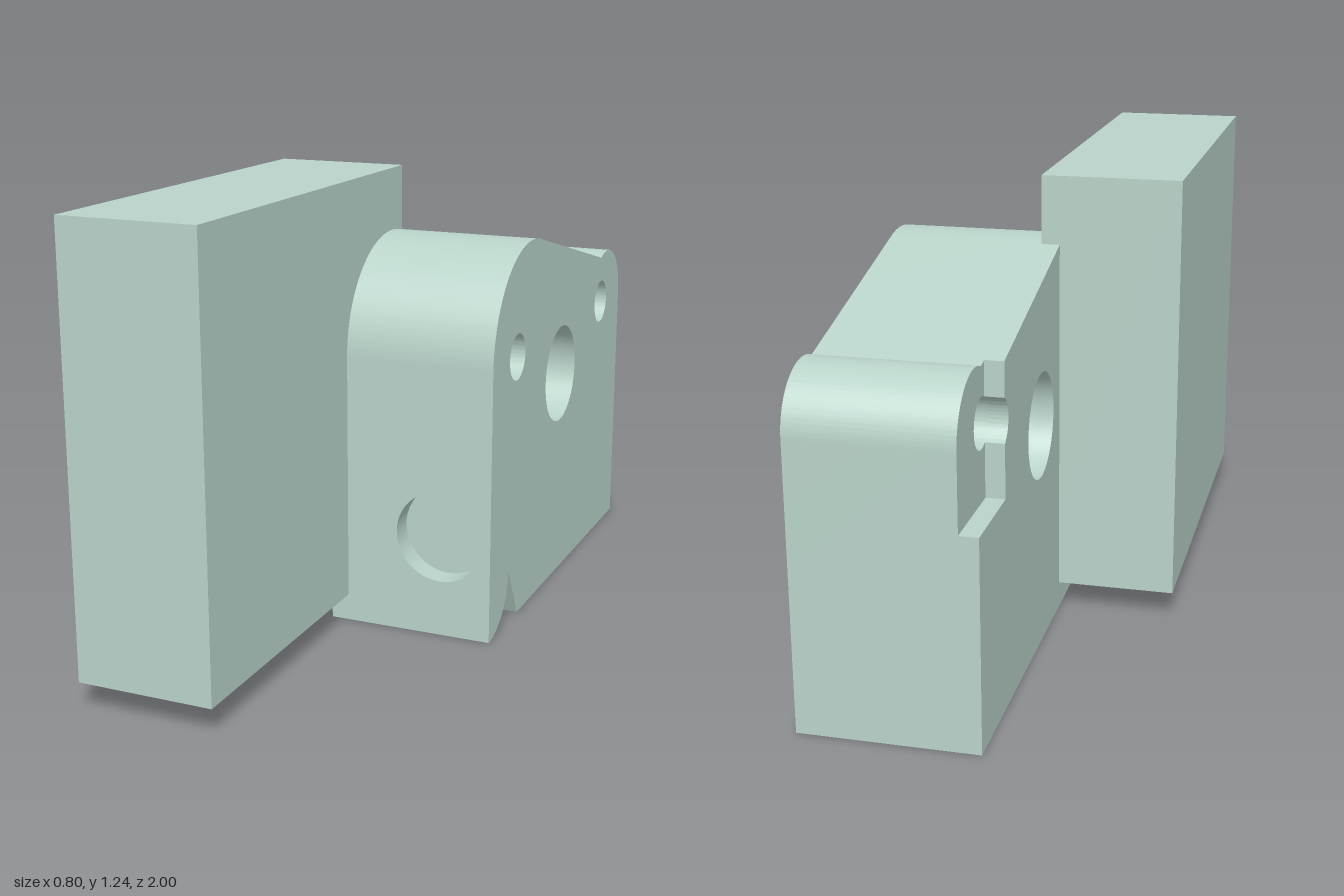
import * as THREE from 'three';
import { toCreasedNormals } from 'three/addons/utils/BufferGeometryUtils.js';

const rad = THREE.MathUtils.degToRad;
const BACK_HOLE = [0.79, 0.76, 0.065];
const HOLES = [[-0.017, 0.76, 0.065], [0.383, 0.62, 0.143]];
// Shallow bore in the front face
const BORE = { x: 0.25, y: 0.285, r: 0.128, depth: 0.07, low: 0.155, high: 0.415 };
const FRONT = 0.215, X0 = -0.075, X1 = -0.025, X2 = 0.395;

function addHole(shape, [u, v, r]) {
  shape.holes.push(new THREE.Path().absarc(u, v, r, 0, Math.PI * 2, true));
}

// Side profile of the block, drawn with u = -z and v = y
function blockProfile(isInnerLayer) {
  const s = new THREE.Shape();
  s.moveTo(-FRONT, 0);
  s.absarc(-FRONT, 0.155, 0.155, rad(-90), 0, false); // rounded lip
  s.lineTo(0.022, 0);
  s.lineTo(1, 0);
  if (isInnerLayer) {
    // stepped recess in the upper back corner, cut by the back hole
    const [u, v, r] = BACK_HOLE;
    const a = Math.acos((0.76 - u) / -r);
    s.lineTo(1, 0.56);
    s.lineTo(0.76, 0.56);
    s.absarc(u, v, r, Math.PI + a, Math.PI - a, true);
    s.lineTo(0.76, 0.908);
  } else {
    s.lineTo(1, 0.76);
    s.absarc(0.847, 0.76, 0.153, 0, rad(114), false);
  }
  s.absarc(0.09, 0.76, 0.305, rad(76.5), Math.PI, false);
  if (!isInnerLayer) {
    // pocket that receives the bored front panel
    s.lineTo(-FRONT, BORE.high);
    s.lineTo(-FRONT + BORE.depth, BORE.high);
    s.lineTo(-FRONT + BORE.depth, BORE.low);
    s.lineTo(-FRONT, BORE.low);
  }
  s.closePath();
  HOLES.forEach((h) => addHole(s, h));
  if (!isInnerLayer) addHole(s, BACK_HOLE);
  return s;
}

function extrude(shape, depth) {
  return new THREE.ExtrudeGeometry(shape, { depth, bevelEnabled: false, curveSegments: 40 });
}

export function createModel() {
  const group = new THREE.Group();
  const material = new THREE.MeshStandardMaterial({ color: 0xb9d3c9 });
  const add = (name, geometry) => {
    const mesh = new THREE.Mesh(geometry, material);
    mesh.name = name;
    group.add(mesh);
  };

  // Rectangular side plate
  const plate = new THREE.BoxGeometry(0.375, 1.165, 1.167);
  plate.translate(-0.2125, 0.6575, 0.4165);
  add('sidePlate', plate);

  // Block in two layers, so the inner one can carry the recess
  [['blockBody', X1, X2, false], ['blockInnerLayer', X0, X1, true]].forEach(([name, a, b, inner]) => {
    const geo = extrude(blockProfile(inner), b - a);
    geo.rotateY(Math.PI / 2).translate(a, 0, 0);
    add(name, toCreasedNormals(geo, 0.2));
  });

  // Front panel with the round blind bore
  const panel = new THREE.Shape([
    new THREE.Vector2(X1, BORE.low), new THREE.Vector2(X2, BORE.low),
    new THREE.Vector2(X2, BORE.high), new THREE.Vector2(X1, BORE.high),
  ]);
  addHole(panel, [BORE.x, BORE.y, BORE.r]);
  const panelGeo = extrude(panel, BORE.depth).translate(0, 0, FRONT - BORE.depth);
  add('boredFrontPanel', toCreasedNormals(panelGeo, 0.2));

  return group;
}
